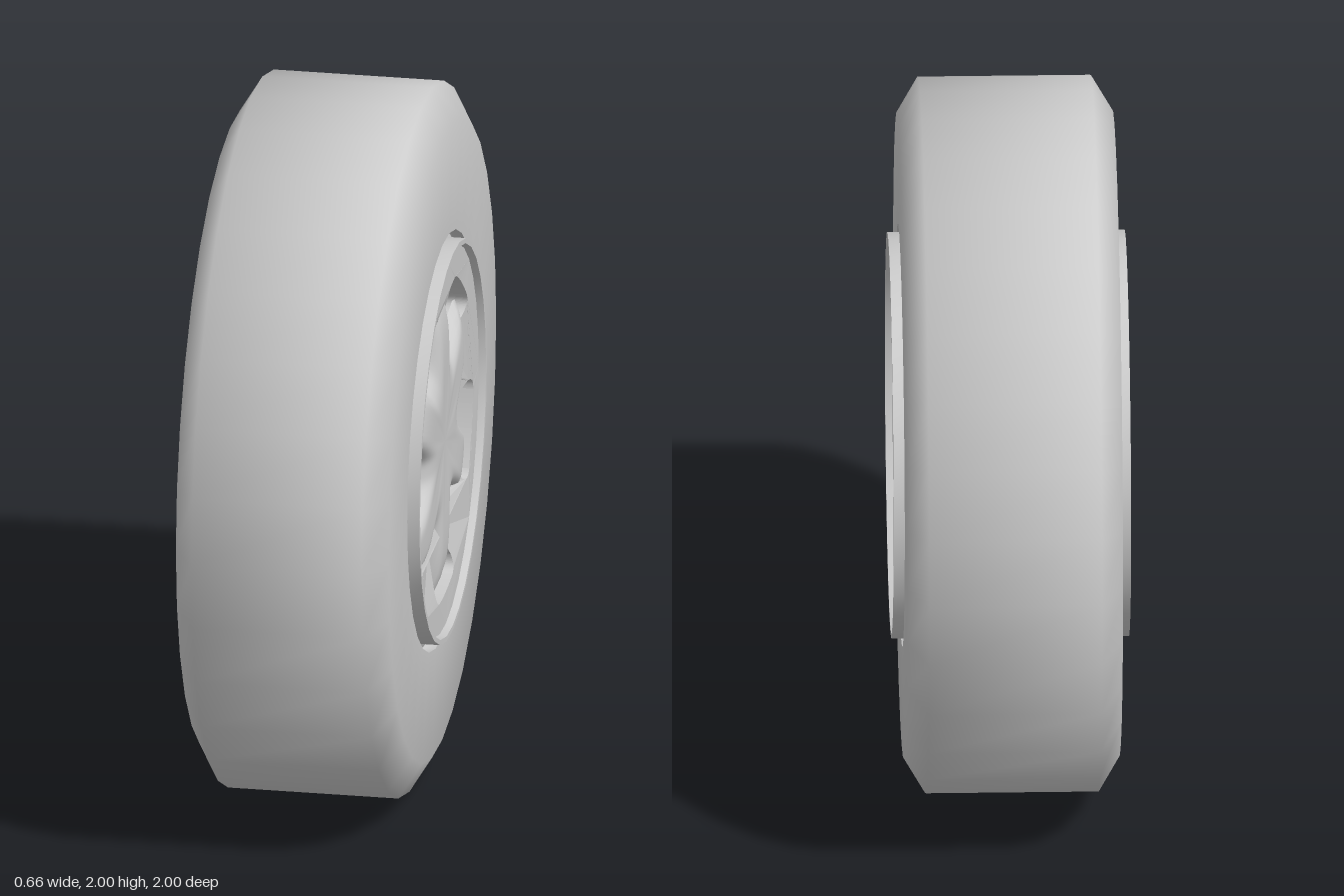
import * as THREE from 'three';
import { toCreasedNormals } from 'three/addons/utils/BufferGeometryUtils.js';

const SEGMENTS = 32;

export function createModel() {
  const wheel = new THREE.Group();
  wheel.name = 'wheel';
  const grey = new THREE.MeshStandardMaterial({ color: 0xcccccc, side: THREE.DoubleSide });

  const add = (name, geometry) => {
    const mesh = new THREE.Mesh(geometry, grey);
    mesh.name = name;
    wheel.add(mesh);
  };
  // Profile of [radius, x] pairs spun about the x axis
  const spin = (profile, crease) => toCreasedNormals(new THREE.LatheGeometry(
    profile.map(([r, x]) => new THREE.Vector2(r, x)), SEGMENTS).rotateZ(-Math.PI / 2), crease);

  // Tyre: flat tread, chamfered shoulders, flat sidewalls and a sharp bead
  add('tyre', spin([
    [0.575, -0.26], [0.59, -0.27], [0.59, -0.3], [0.9, -0.3], [1, -0.24],
    [1, 0.24], [0.9, 0.3], [0.59, 0.3], [0.59, 0.27], [0.575, 0.26],
  ], 1.2));

  // Rim: two lips joined by a barrel that narrows towards the disc
  add('rim', spin([
    [0.59, 0.265], [0.567, 0.275], [0.567, 0.33], [0.553, 0.33], [0.547, 0.3], [0.535, 0.2],
    [0.45, 0.13], [0.475, 0.08], [0.495, 0], [0.51, -0.1], [0.527, -0.22],
    [0.542, -0.3], [0.553, -0.33], [0.567, -0.33], [0.567, -0.275], [0.59, -0.265],
  ], 0.8));

  // Wheel disc with five rounded windows, dished towards the centre
  const disc = new THREE.Shape().absarc(0, 0, 0.549, 0, Math.PI * 2);
  disc.holes.push(new THREE.Path().absarc(0, 0, 0.2, 0, Math.PI * 2));
  for (let i = 0; i < 5; i++) {
    const mid = THREE.MathUtils.degToRad(54 + 72 * i);
    const at = (r, deg) => {
      const a = mid + THREE.MathUtils.degToRad(deg);
      return [r * Math.cos(a), r * Math.sin(a)];
    };
    const hole = new THREE.Path();
    hole.moveTo(...at(0.46, -14));
    hole.quadraticCurveTo(...at(0.465, 0), ...at(0.46, 14));
    hole.quadraticCurveTo(...at(0.46, 19), ...at(0.42, 19));
    hole.lineTo(...at(0.31, 15));
    hole.quadraticCurveTo(...at(0.27, 0), ...at(0.31, -15));
    hole.lineTo(...at(0.42, -19));
    hole.quadraticCurveTo(...at(0.46, -19), ...at(0.46, -14));
    disc.holes.push(hole);
  }
  const plate = new THREE.ExtrudeGeometry(disc, {
    depth: 0.1, bevelEnabled: false, curveSegments: 16,
  }).rotateY(Math.PI / 2).translate(0.21, 0, 0);
  const p = plate.attributes.position;
  for (let i = 0; i < p.count; i++) {
    const r = Math.hypot(p.getY(i), p.getZ(i));
    p.setX(i, p.getX(i) - 0.25 * Math.max(0, 0.46 - r));
  }
  plate.computeVertexNormals();
  add('wheelDisc', plate);

  // Bowl and hub behind the windows, with a rib behind each disc spoke
  add('hub', spin([[0, 0.06], [0.25, 0.06], [0.28, 0.08], [0.46, 0.14]], 0.6));
  for (let i = 0; i < 5; i++) {
    add('spokeRib', new THREE.BoxGeometry(0.08, 0.17, 0.13)
      .translate(0.13, 0.355, 0)
      .rotateX(THREE.MathUtils.degToRad(72 * i)));
  }

  // Six-armed centre cover, its edges rolling back into the disc
  add('centreCover', starCover());

  wheel.position.y = 1;
  const model = new THREE.Group();
  model.add(wheel);
  return model;
}

// Polar grid whose outline swings between six blunt arms and six valleys
function starCover(around = 144, rings = 14) {
  const positions = [];
  const index = [];
  for (let k = 0; k <= rings; k++) {
    const t = k / rings;
    for (let j = 0; j < around; j++) {
      const a = (j / around) * Math.PI * 2;
      const arm = (1 + Math.cos(6 * (a - Math.PI / 2))) / 2;
      // Angle from the nearest arm's middle line, for its straight tip
      const off = Math.acos(2 * arm - 1) / 6;
      const r = t * Math.min(0.28 + 0.28 * arm ** 2, 0.45 / Math.cos(off));
      const drop = (0.07 - 0.03 * arm) * t ** 6 + 0.01 * (1 - t * t) ** 2;
      positions.push(0.318 - drop, r * Math.sin(a), -r * Math.cos(a));
      if (k < rings) {
        const next = (j + 1) % around;
        const p = k * around + j, q = k * around + next;
        const u = p + around, v = q + around;
        index.push(p, u, v);
        if (k > 0) index.push(p, v, q);
      }
    }
  }
  const geometry = new THREE.BufferGeometry();
  geometry.setAttribute('position', new THREE.Float32BufferAttribute(positions, 3));
  geometry.setIndex(index);
  geometry.computeVertexNormals();
  return geometry;
}
